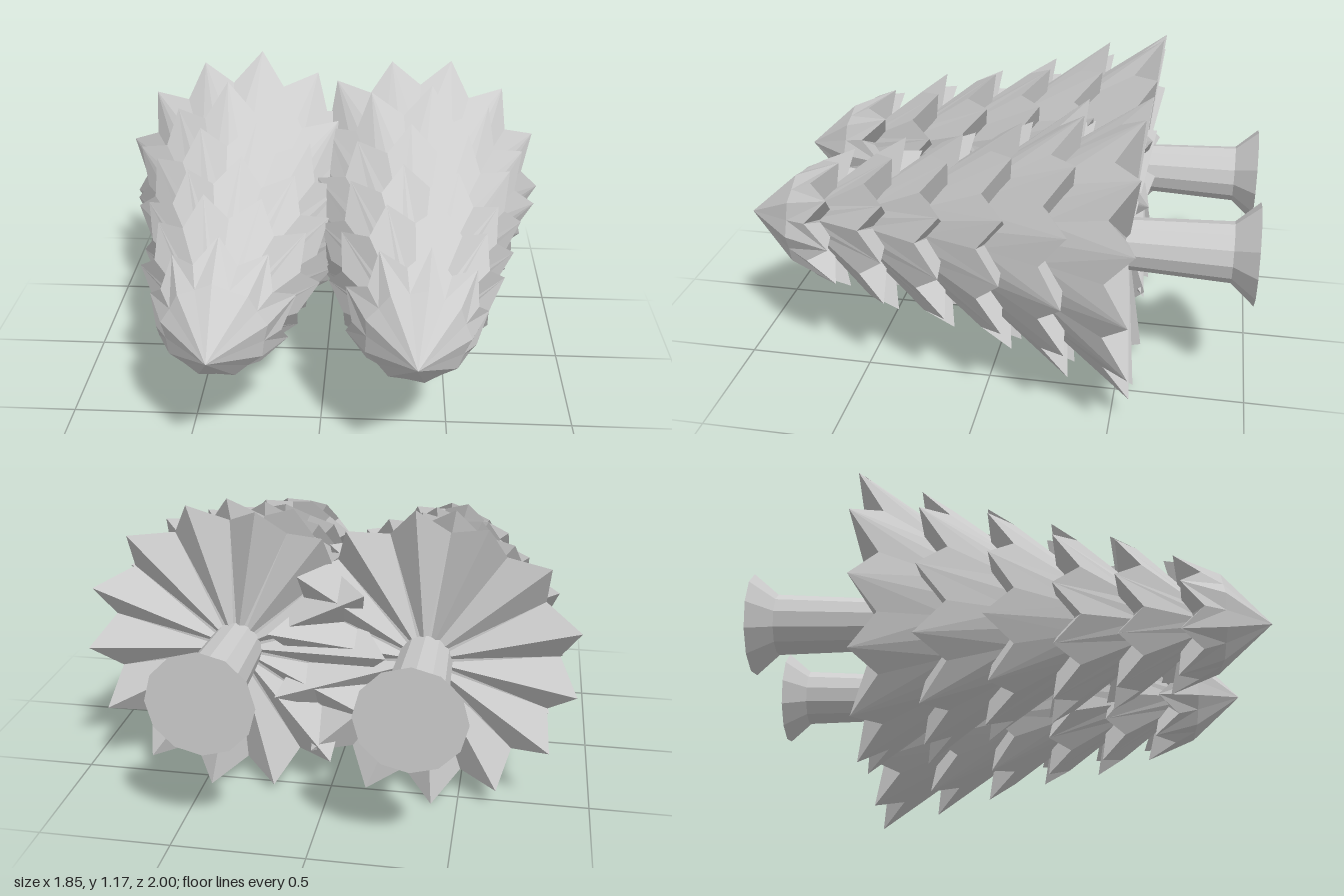
import * as THREE from 'three';

const bark = new THREE.MeshStandardMaterial({ color: 0xcccccc });
bark.name = 'plain grey';
bark.flatShading = true;

// Small seeded generator for the uneven branch tips
function seeded(seed) {
  return () => {
    seed = (seed * 16807) % 2147483647;
    return seed / 2147483647;
  };
}

// Joins rings of equal point count, listed from the tree top (+z) to the foot
function skin(rings) {
  const pos = [];
  const n = rings[0].length;
  for (let i = 0; i < rings.length - 1; i++) {
    for (let k = 0; k < n; k++) {
      const j = (k + 1) % n;
      const a = rings[i][k], b = rings[i][j], c = rings[i + 1][j], d = rings[i + 1][k];
      // mirror the diagonal on alternate pleats so each branch is symmetrical
      const tris = k % 2 ? [a, d, c, a, c, b] : [a, d, b, b, d, c];
      for (let t = 0; t < 6; t += 3) {
        const [p, q, r] = tris.slice(t, t + 3);
        if (p.equals(q) || q.equals(r) || p.equals(r)) continue;
        for (const v of [p, q, r]) pos.push(v.x, v.y, v.z);
      }
    }
  }
  const geo = new THREE.BufferGeometry();
  geo.setAttribute('position', new THREE.Float32BufferAttribute(pos, 3));
  geo.computeVertexNormals();
  return geo;
}

function ring(points, phase, at) {
  return Array.from({ length: points * 2 }, (_, k) => {
    const [r, z] = at(k % 2 === 0);
    const a = phase + (k * Math.PI) / points;
    return new THREE.Vector3(r * Math.cos(a), r * Math.sin(a), z);
  });
}

// Tiers from the tip down: rim z, rim radius, number of branch tips
const TIERS = [
  [0.59, 0.285, 9], [0.36, 0.355, 10], [0.13, 0.405, 11],
  [-0.11, 0.47, 12], [-0.345, 0.54, 13], [-0.58, 0.6, 14],
];

function makeTree(phases, seed) {
  const tree = new THREE.Group();
  const rand = seeded(seed);

  TIERS.forEach(([z, R, n], i) => {
    const phase = THREE.MathUtils.degToRad(phases[i]);
    const rings = i === 0
      ? [ring(n, phase, () => [0, 1]), ring(n, phase, (tip) => [tip ? 0.195 : 0.18, 0.79])]
      : [ring(n, phase, () => [R - 0.27, z + 0.36])];
    // star rim: tips out and low, notches in and high
    rings.push(ring(n, phase, (tip) => tip
      ? [R * (0.94 + 0.06 * rand()), z + 0.02 * rand()]
      : [R * 0.82, z + 0.11]));
    // pleated underside
    rings.push(ring(n, phase, () => [0.03, z + 0.06]));
    const tier = new THREE.Mesh(skin(rings), bark);
    tier.name = 'branchTier' + (i + 1);
    tree.add(tier);
  });

  // Trunk with flared foot
  const profile = [[0.1, 0.5], [0.117, 0.91], [0.196, 1], [0, 1]]
    .map(([r, d]) => new THREE.Vector2(r, -d)).reverse();
  const trunk = new THREE.Mesh(new THREE.LatheGeometry(profile, 12), bark);
  trunk.name = 'trunk';
  trunk.rotation.x = Math.PI / 2;
  tree.add(trunk);
  return tree;
}

export function createModel() {
  const model = new THREE.Group();
  const left = makeTree([0, 2, 0, 3, 0, -2.2], 17);
  left.name = 'leftTree';
  left.position.set(0.36, 0.605, 0);
  const right = makeTree([170, 176, 184, 172, 182, 86], 91);
  right.name = 'rightTree';
  right.position.set(-0.36, 0.605, 0);
  model.add(left, right);
  return model;
}
